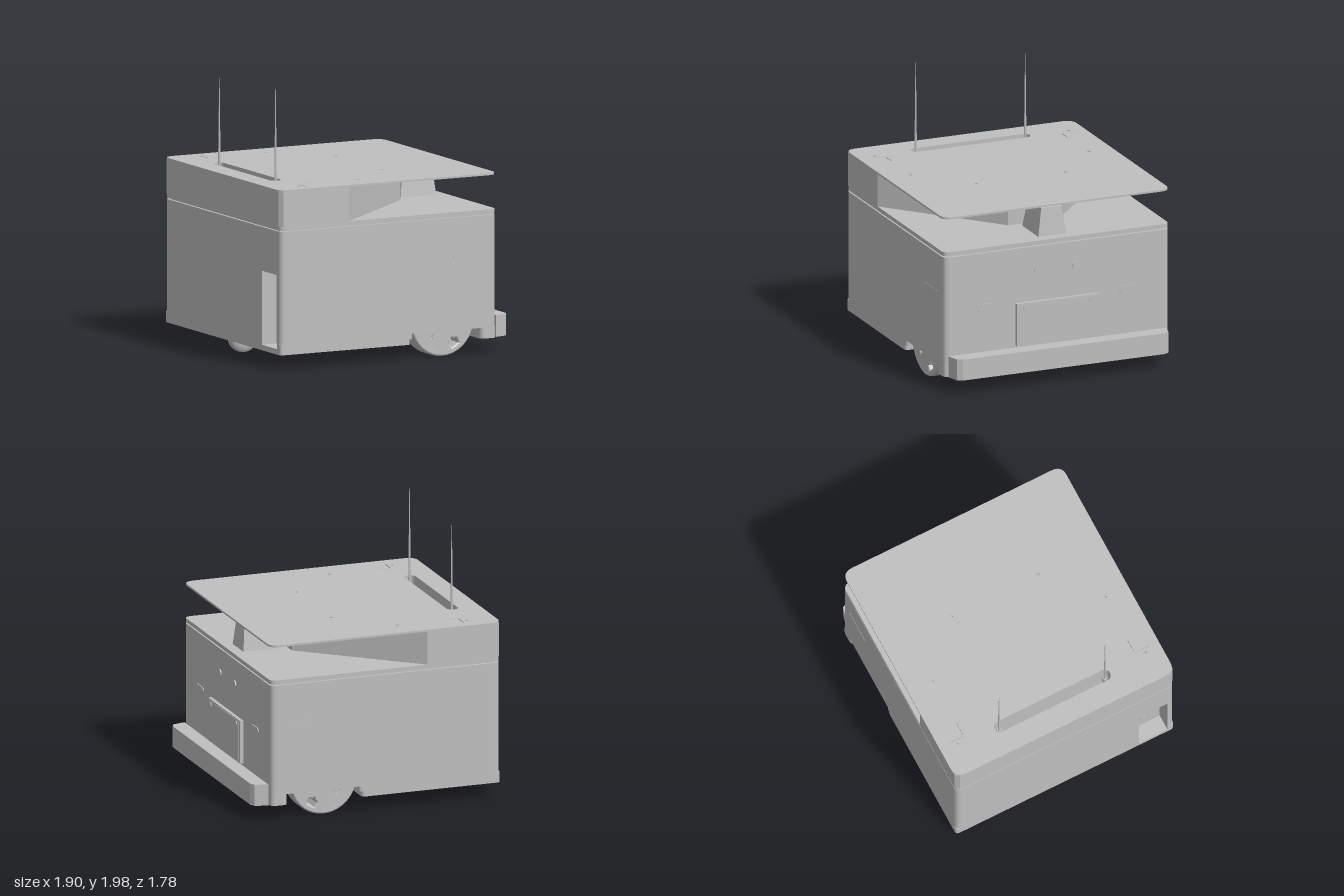
import * as THREE from 'three';

const grey = new THREE.MeshStandardMaterial({ color: 0xbfbfbf });
grey.name = 'light grey';

// closed path from corner points
const path = (pts, Type = THREE.Shape) => new Type(pts.map(([x, y]) => new THREE.Vector2(x, y)));

function circle(x, y, r, Type = THREE.Path) {
  const p = new Type();
  p.absarc(x, y, r, 0, Math.PI * 2, false);
  return p;
}

const rect = (x0, x1, z0, z1) => path([[x0, -z1], [x1, -z1], [x1, -z0], [x0, -z0]], THREE.Path);

// rounded floor plan, optionally with a notch in the rear wall
function plan(x0, x1, w, r, notch) {
  const s = new THREE.Shape();
  s.moveTo(x0 + r, -w);
  s.lineTo(x1 - r, -w);
  s.quadraticCurveTo(x1, -w, x1, -w + r);
  s.lineTo(x1, w - r);
  s.quadraticCurveTo(x1, w, x1 - r, w);
  s.lineTo(x0 + r, w);
  s.quadraticCurveTo(x0, w, x0, w - r);
  if (notch) [[x0, -0.6], [x0 + 0.12, -0.6], [x0 + 0.12, -0.83], [x0, -0.83]].forEach(p => s.lineTo(...p));
  s.lineTo(x0, -w + r);
  s.quadraticCurveTo(x0, -w, x0 + r, -w);
  return s;
}

export function createModel() {
  const root = new THREE.Group();
  root.name = 'deliveryRobot';

  const add = (name, geo, x = 0, y = 0, z = 0, parent = root) => {
    const m = new THREE.Mesh(geo, grey);
    m.name = name;
    m.position.set(x, y, z);
    parent.add(m);
    return m;
  };
  // horizontal slab between two heights
  const slab = (name, shape, y0, y1, holes = []) => {
    shape.holes.push(...holes);
    const g = new THREE.ExtrudeGeometry(shape, { depth: y1 - y0, bevelEnabled: false, curveSegments: 8 });
    return add(name, g.rotateX(-Math.PI / 2), 0, y0);
  };
  const box = (name, w, h, d, x, y, z, parent) => add(name, new THREE.BoxGeometry(w, h, d), x, y, z, parent);

  // lower body, with wheel wells, caster well and rear connector recess
  const W = 0.885, X0 = -0.945, X1 = 0.82, R = 0.05;
  const casterWell = () => circle(-0.68, 0, 0.24);
  const wells = () => [rect(0.13, 0.67, 0.66, 0.875), rect(0.13, 0.67, -0.875, -0.66), casterWell()];
  slab('rearFloor', plan(X0, 0.12, W, 0.03), 0.12, 0.16, [casterWell()]);
  slab('rearFloorUpper', plan(X0, 0.14, W, 0.03, true), 0.16, 0.2, [casterWell()]);
  slab('frontSkirt', plan(0.69, X1, W, 0.04), 0.12, 0.2);
  slab('wheelHousing', plan(X0, X1, W, R, true), 0.2, 0.54, wells());
  slab('connectorHousing', plan(X0, X1, W, R, true), 0.54, 0.7);
  slab('bodyShell', plan(X0, X1, W, R), 0.7, 1.02);
  slab('lidSeam', plan(X0 + 0.02, X1 - 0.02, W - 0.02, R), 1.02, 1.03);
  slab('lid', plan(X0, X1, W, R), 1.03, 1.06);

  // rear compartment narrowing towards the front
  const slot = () => {
    const p = new THREE.Path();
    p.absarc(-0.745, 0.425, 0.043, 0, Math.PI, false);
    p.absarc(-0.745, -0.425, 0.043, Math.PI, Math.PI * 2, false);
    p.closePath();
    return p;
  };
  slab('upperCompartment', path([[-0.92, -W], [-0.385, -W], [0.4, -0.2], [0.4, 0.2], [-0.385, W],
    [-0.92, W], [X0, W - 0.03], [X0, -W + 0.03]]), 1.06, 1.309, [slot()]);

  // top deck with screw holes and bracket slits
  const deckHoles = [slot()];
  for (const s of [-1, 1]) {
    for (const [x, z] of [[-0.73, 0.76], [-0.22, 0.7], [0.16, 0.35]]) deckHoles.push(circle(x, -s * z, 0.014));
    const span = (x0, x1, a, b) => rect(x0, x1, Math.min(s * a, s * b), Math.max(s * a, s * b));
    deckHoles.push(span(-0.695, -0.688, 0.695, 0.81));
    deckHoles.push(span(-0.68, -0.58, 0.69, 0.696));
  }
  slab('topDeck', plan(-0.952, 0.825, 0.89, 0.08), 1.309, 1.323, deckHoles);

  // antennas
  for (const [z, top] of [[0.43, 1.985], [-0.43, 1.945]]) {
    add('antenna', new THREE.CylinderGeometry(0.002, 0.013, top - 1.06, 8), -0.742, (top + 1.06) / 2, z);
    add('antennaBase', new THREE.CylinderGeometry(0.018, 0.02, 0.2, 8), -0.742, 1.16, z);
  }

  // sensor post between lid and deck
  const post = new THREE.ExtrudeGeometry(
    path([[0.45, 1.06], [0.74, 1.06], [0.72, 1.27], [0.69, 1.3], [0.53, 1.285], [0.475, 1.24]]),
    { depth: 0.22, bevelEnabled: false }).translate(0, 0, -0.11);
  const pp = post.attributes.position;
  for (let i = 0; i < pp.count; i++) pp.setZ(i, pp.getZ(i) * (1 - 0.32 * (pp.getY(i) - 1.06) / 0.24));
  post.computeVertexNormals();
  add('sensorPost', post);

  // bumper with chamfered ends
  slab('bumper', path([[0.83, -0.855], [0.925, -0.83], [0.945, -0.79], [0.945, 0.79], [0.925, 0.83], [0.83, 0.855]]),
    0.12, 0.278);
  box('bumperMount', 0.03, 0.1, 1.2, 0.825, 0.2, 0);

  // front door, hinges, lamps and sensors
  box('frontDoor', 0.03, 0.32, 0.65, 0.832, 0.45, 0);
  box('doorPanel', 0.008, 0.3, 0.6, 0.846, 0.45, 0);
  for (const s of [-1, 1]) {
    add('doorBolt', new THREE.CylinderGeometry(0.018, 0.018, 0.01, 6).rotateZ(Math.PI / 2), 0.853, 0.575, s * 0.26);
    const lamp = new THREE.ExtrudeGeometry(
      path([[-0.08, 0.01], [-0.055, 0.028], [0.055, 0.028], [0.08, 0.01], [0.055, -0.028], [-0.055, -0.028]].reverse()),
      { depth: 0.008, bevelEnabled: false }).rotateY(Math.PI / 2);
    add('frontLamp', lamp, 0.818, 0.607, s * 0.56);
    add('frontSensor', new THREE.CylinderGeometry(0.028, 0.028, 0.012, 10).rotateZ(Math.PI / 2), 0.823, 0.84, s * 0.15);
    box('sideSeam', 0.25, 0.006, 0.006, 0.59, 0.737, s * 0.884);
  }

  // rear connectors inside the recess
  for (const y of [0.28, 0.36, 0.44, 0.6]) {
    add('rearConnector', new THREE.CylinderGeometry(0.035, 0.035, 0.06, 12).rotateZ(Math.PI / 2), -0.8, y, 0.7);
  }

  // drive wheels with honeycomb webs
  const polar = (r, a) => [r * Math.cos(a), r * Math.sin(a)];
  const web = circle(0, 0, 0.253, THREE.Shape);
  const N = 12, step = Math.PI * 2 / N;
  for (let i = 0; i < N; i++) {
    const a = i * step;
    web.holes.push(path([polar(0.145, a), polar(0.172, a + 0.2), polar(0.206, a + 0.15),
      polar(0.206, a - 0.15), polar(0.172, a - 0.2)], THREE.Path));
    const b = a + step / 2;
    web.holes.push(path([polar(0.085, b), polar(0.14, b + 0.12), polar(0.14, b - 0.12)], THREE.Path));
  }
  const wheelGeo = new THREE.ExtrudeGeometry(web, { depth: 0.125, curveSegments: 36, bevelThickness: 0.02,
    bevelSize: 0.012, bevelOffset: -0.012, bevelSegments: 2 }).translate(0, 0, -0.0625);
  for (const s of [-1, 1]) {
    add('driveWheel', wheelGeo, 0.4, 0.263, s * 0.767);
    add('wheelHub', new THREE.CylinderGeometry(0.06, 0.06, 0.18, 16).rotateX(Math.PI / 2), 0.4, 0.263, s * 0.765);
  }

  // rear caster
  const caster = new THREE.Group();
  caster.name = 'rearCaster';
  root.add(caster);
  const tyre = [[0, -0.05], [0.06, -0.05], [0.095, -0.042], [0.112, -0.025], [0.115, 0], [0.112, 0.025],
    [0.095, 0.042], [0.06, 0.05], [0, 0.05]].map(([x, y]) => new THREE.Vector2(x, y));
  add('casterWheel', new THREE.LatheGeometry(tyre, 24).rotateX(Math.PI / 2), -0.78, 0.125, 0, caster);
  for (const s of [-1, 1]) {
    const fork = new THREE.ExtrudeGeometry(path([[-0.81, 0.09], [-0.75, 0.09], [-0.6, 0.27], [-0.78, 0.27]]),
      { depth: 0.012, bevelEnabled: false });
    add('casterFork', fork, 0, 0, s * 0.062 - 0.006, caster);
  }
  box('casterPlate', 0.2, 0.02, 0.15, -0.69, 0.275, 0, caster);
  add('casterStem', new THREE.CylinderGeometry(0.05, 0.06, 0.27, 16), -0.68, 0.41, 0, caster);

  return root;
}
